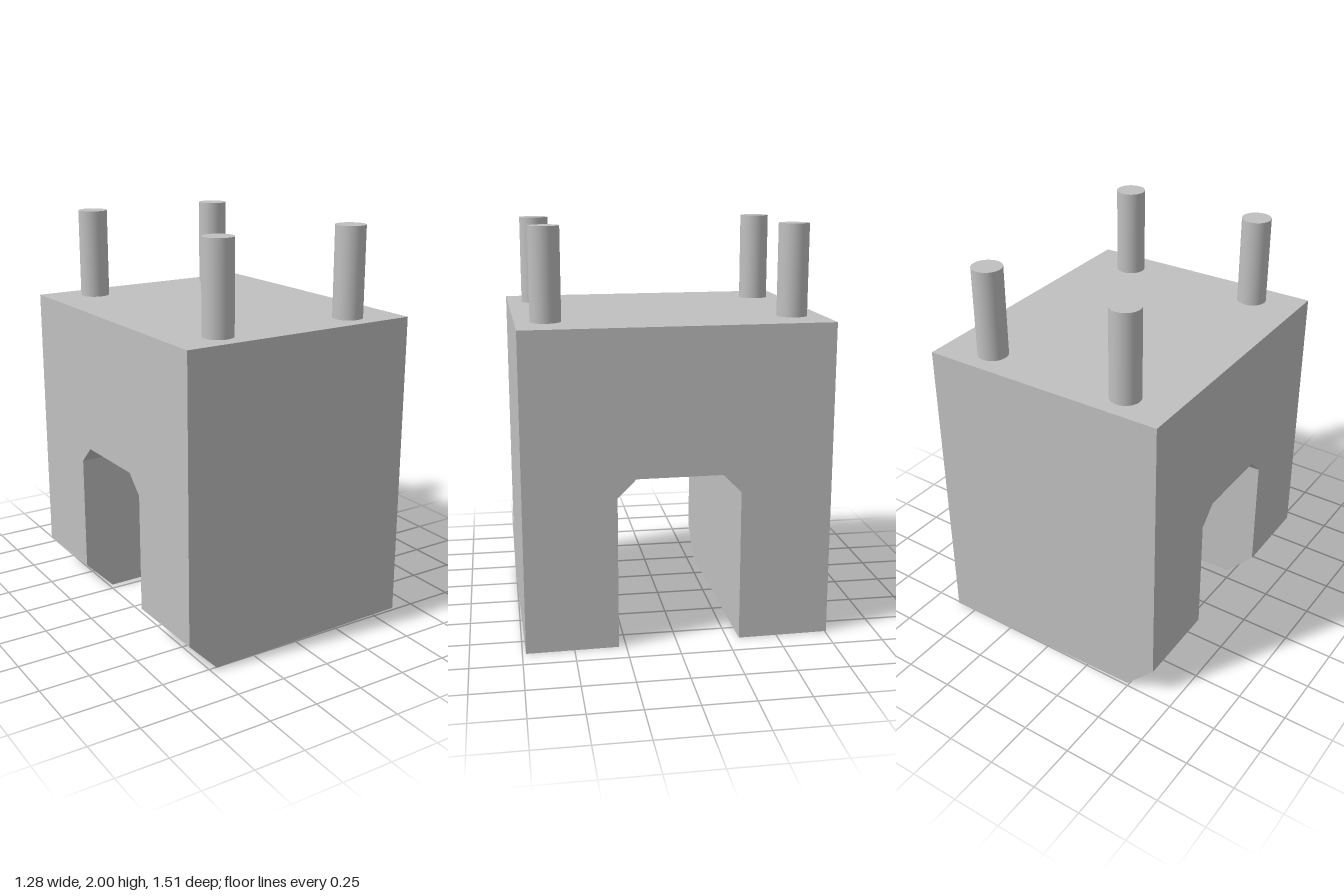
import * as THREE from 'three';

const W = 1.25, D = 1.49, TOP = 1.555;   // block width, depth and height
const CHAMFER = 0.155;                   // bevel along the bottom of the -x side
const ARCH = 0.298;                      // half width of the passage

// Extrude a closed outline, centred along its depth
function prism(points, depth) {
  const shape = new THREE.Shape(points.map(([x, y]) => new THREE.Vector2(x, y)));
  const geo = new THREE.ExtrudeGeometry(shape, { depth, bevelEnabled: false });
  return geo.translate(0, 0, -depth / 2);
}

export function createModel() {
  const model = new THREE.Group();
  model.name = 'archedBlock';
  const grey = new THREE.MeshStandardMaterial({ color: 0xc0c0c0 });
  grey.name = 'light grey';

  const add = (name, geo, x, y, z) => {
    const mesh = new THREE.Mesh(geo, grey);
    mesh.name = name;
    mesh.position.set(x, y, z);
    model.add(mesh);
  };

  // Body above the bevel, with the passage running from side to side
  const d = D / 2;
  const body = prism([
    [-d, CHAMFER], [-ARCH, CHAMFER], [-ARCH, 0.75], [-0.208, 0.84],
    [0.208, 0.84], [ARCH, 0.75], [ARCH, CHAMFER], [d, CHAMFER], [d, TOP], [-d, TOP],
  ], W).rotateY(Math.PI / 2);
  add('body', body, 0, 0, 0);

  // Bevelled feet at the front and back
  const w = W / 2;
  const foot = prism([
    [-w + 0.15, 0], [w, 0], [w, CHAMFER], [-w, CHAMFER],
  ], d - ARCH);
  for (const s of [1, -1]) {
    add(s > 0 ? 'frontFoot' : 'backFoot', foot, 0, 0, s * (d + ARCH) / 2);
  }

  // Four pins standing on the top
  const pin = new THREE.CylinderGeometry(0.074, 0.074, 2 - TOP, 48);
  for (const sx of [1, -1]) for (const sz of [1, -1]) {
    const name = (sz > 0 ? 'front' : 'back') + (sx > 0 ? 'Left' : 'Right') + 'Pin';
    add(name, pin, sx * 0.3725, (2 + TOP) / 2, sz * 0.5975);
  }

  // The whole block is turned very slightly
  model.rotation.y = 0.0188;
  return model;
}
